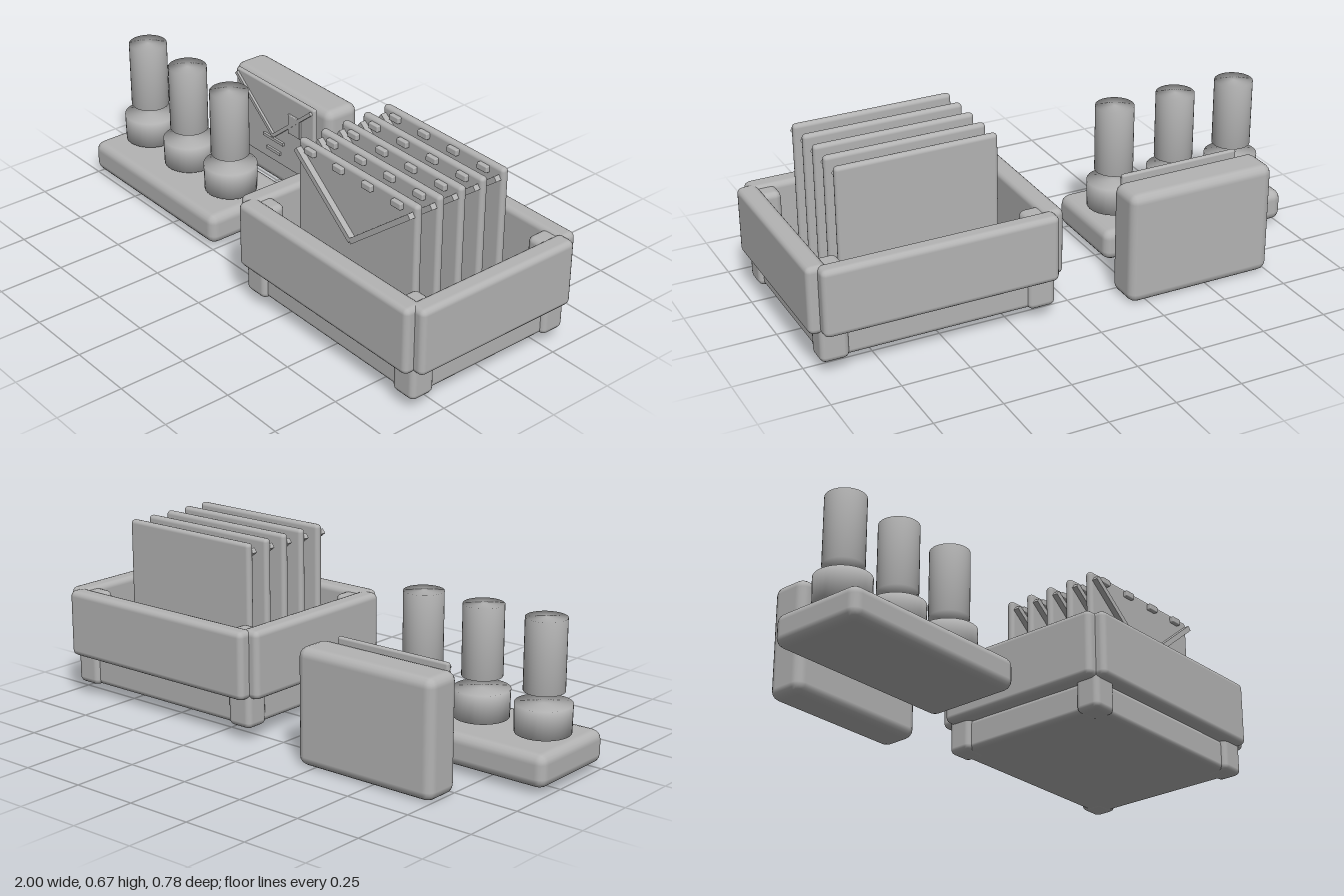
import * as THREE from 'three';
import { RoundedBoxGeometry } from 'three/addons/geometries/RoundedBoxGeometry.js';
import { mergeVertices } from 'three/addons/utils/BufferGeometryUtils.js';

export function createModel() {
  const root = new THREE.Group();
  root.name = 'mailSortingSet';
  const grey = new THREE.MeshStandardMaterial({ color: 0xb3b3b3 });
  grey.name = 'plain grey';

  const add = (parent, name, geometry, x = 0, y = 0, z = 0) => {
    const mesh = new THREE.Mesh(geometry, grey);
    mesh.name = name;
    mesh.position.set(x, y, z);
    parent.add(mesh);
    return mesh;
  };
  const group = (name) => {
    const g = new THREE.Group();
    g.name = name;
    root.add(g);
    return g;
  };
  // Rounded block given by its limits on each axis
  const block = (parent, name, [x0, x1], [y0, y1], [z0, z1], r) =>
    add(parent, name, new RoundedBoxGeometry(x1 - x0, y1 - y0, z1 - z0, 2, r),
      (x0 + x1) / 2, (y0 + y1) / 2, (z0 + z1) / 2);
  // Plain strip running between two points of a card face
  const strip = (parent, name, [xa, ya], [xb, yb], z, w, t) => {
    const m = add(parent, name, new THREE.BoxGeometry(Math.hypot(xb - xa, yb - ya), w, t),
      (xa + xb) / 2, (ya + yb) / 2, z);
    m.rotation.z = Math.atan2(yb - ya, xb - xa);
  };
  // Cylinder shaded smoothly across its rims
  const softCylinder = (rTop, rBottom, h) => {
    const g = new THREE.CylinderGeometry(rTop, rBottom, h, 32);
    g.deleteAttribute('normal');
    g.deleteAttribute('uv');
    const merged = mergeVertices(g);
    merged.computeVertexNormals();
    return merged;
  };

  // Crate: base, four wall panels and corner posts
  const crate = group('crate');
  block(crate, 'crateBase', [0.105, 0.945], [0.053, 0.17], [-0.317, 0.338], 0.02);
  block(crate, 'frontWall', [0.09, 0.958], [0.163, 0.415], [0.312, 0.388], 0.022);
  block(crate, 'backWall', [0.09, 0.958], [0.163, 0.415], [-0.37, -0.302], 0.022);
  block(crate, 'rightWall', [0.054, 0.13], [0.163, 0.415], [-0.327, 0.352], 0.022);
  block(crate, 'leftWall', [0.92, 0.996], [0.163, 0.415], [-0.327, 0.352], 0.022);
  for (const x of [[0.088, 0.192], [0.858, 0.962]])
    for (const z of [[-0.333, -0.236], [0.258, 0.356]])
      block(crate, 'cornerPost', x, [0.05, 0.405], z, 0.022);

  // Row of envelopes standing in the crate
  const envelopes = group('envelopes');
  for (let i = 0; i < 5; i++) {
    const e = new THREE.Group();
    e.name = 'envelope';
    e.position.set(0.525, 0, 0.217 - i * 0.094);
    envelopes.add(e);
    block(e, 'envelopeBody', [-0.297, 0.297], [0.17, 0.672], [-0.015, 0.015], 0.0145);
    for (const s of [-1, 1])
      strip(e, 'flapEdge', [s * 0.285, 0.64], [0, 0.413], 0.027, 0.02, 0.022);
    for (let k = 0; k < 4; k++)
      block(e, 'tab', [-0.247 + k * 0.145, -0.2 + k * 0.145], [0.636, 0.66], [0.012, 0.031], 0.004);
  }

  // Upright box with a single addressed envelope before it
  const upright = group('uprightBox');
  block(upright, 'boxBody', [-0.755, -0.18], [0.004, 0.428], [-0.39, -0.243], 0.035);
  const letter = group('letter');
  letter.position.set(-0.463, 0, -0.217);
  block(letter, 'letterBody', [-0.235, 0.235], [0.12, 0.435], [-0.013, 0.007], 0.008);
  for (const s of [-1, 1])
    strip(letter, 'letterFold', [s * 0.225, 0.42], [0, 0.235], 0.011, 0.014, 0.012);
  block(letter, 'stamp', [0.09, 0.16], [0.285, 0.365], [0.004, 0.015], 0.003);
  [0.22, 0.17].forEach((y, i) =>
    strip(letter, 'addressLine', [-0.06 + i * 0.02, y], [0.06 - i * 0.02, y], 0.01, 0.012, 0.012));

  // Rack with three hand stamps: round collar and handle each
  const rack = group('stampRack');
  block(rack, 'rackBase', [-1, -0.235], [0.026, 0.146], [-0.108, 0.262], 0.035);
  for (const x of [-0.874, -0.62, -0.365]) {
    add(rack, 'stampCollar', softCylinder(0.1, 0.098, 0.102), x, 0.209, 0.075);
    add(rack, 'stampHandle', softCylinder(0.072, 0.072, 0.255), x, 0.431, 0.075);
  }
  return root;
}
